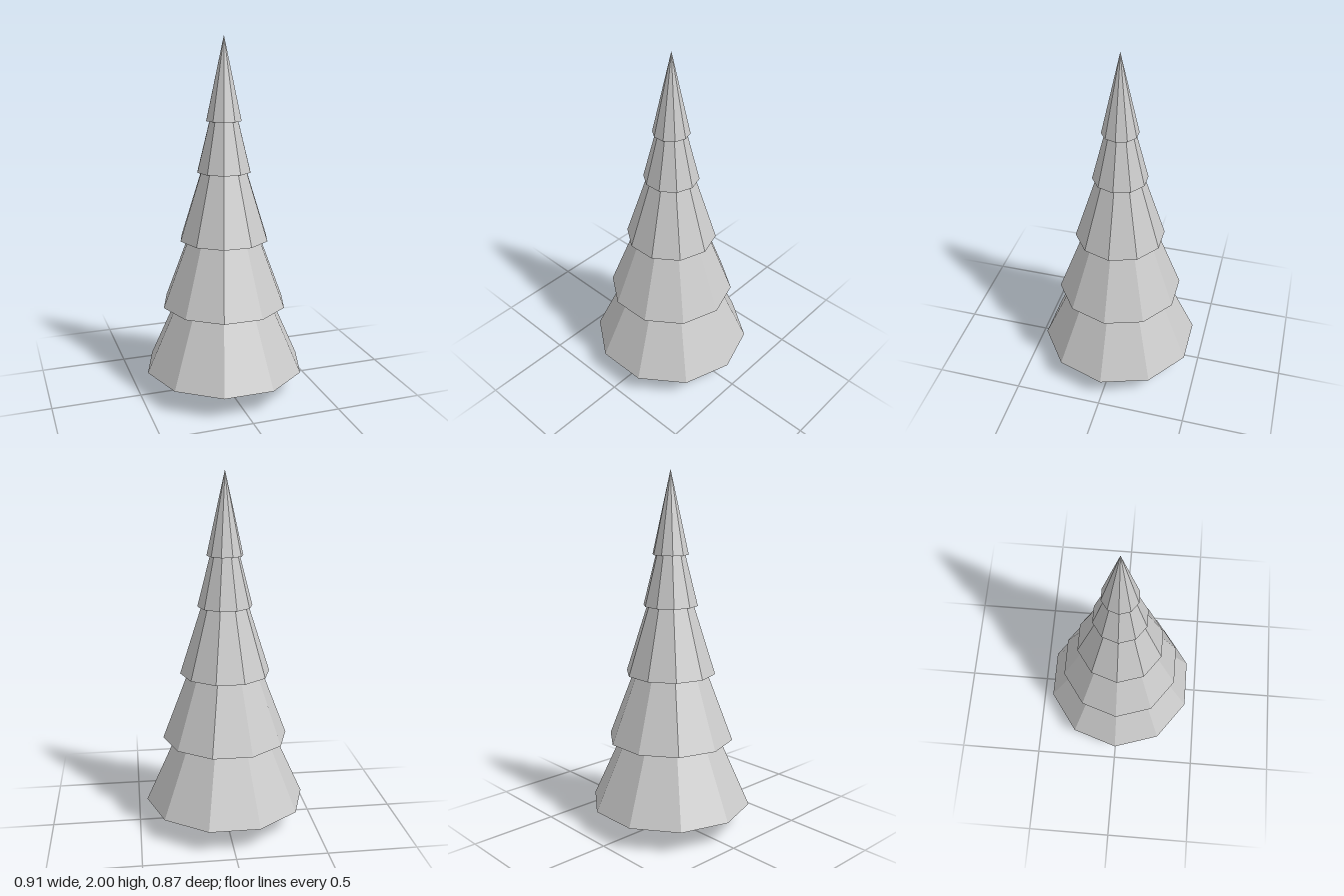
import * as THREE from 'three';

const SIDES = 10;

export function createModel() {
  const tree = new THREE.Group();
  tree.name = 'coniferTree';
  const material = new THREE.MeshStandardMaterial({ color: 0xcccccc, flatShading: true });

  // Ten-sided solid standing on y = base, with corners on the x axis
  const addPart = (name, geometry, base, height) => {
    geometry.rotateY(Math.PI / 2).translate(0, base + height / 2, 0);
    const mesh = new THREE.Mesh(geometry, material);
    mesh.name = name;
    tree.add(mesh);
  };

  // Trunk, reaching slightly into the lowest branches
  addPart('trunk', new THREE.CylinderGeometry(0.061, 0.061, 0.2, SIDES), 0, 0.2);

  // Overlapping cones of foliage: base height, tip height, radius
  const tiers = [
    [0.132, 1.14, 0.455],
    [0.513, 1.44, 0.354],
    [0.892, 1.68, 0.252],
    [1.272, 1.87, 0.152],
    [1.55, 2.0, 0.1],
  ];
  tiers.forEach(([base, tip, radius], i) => {
    addPart(`foliageTier${i + 1}`, new THREE.ConeGeometry(radius, tip - base, SIDES), base, tip - base);
  });

  return tree;
}
